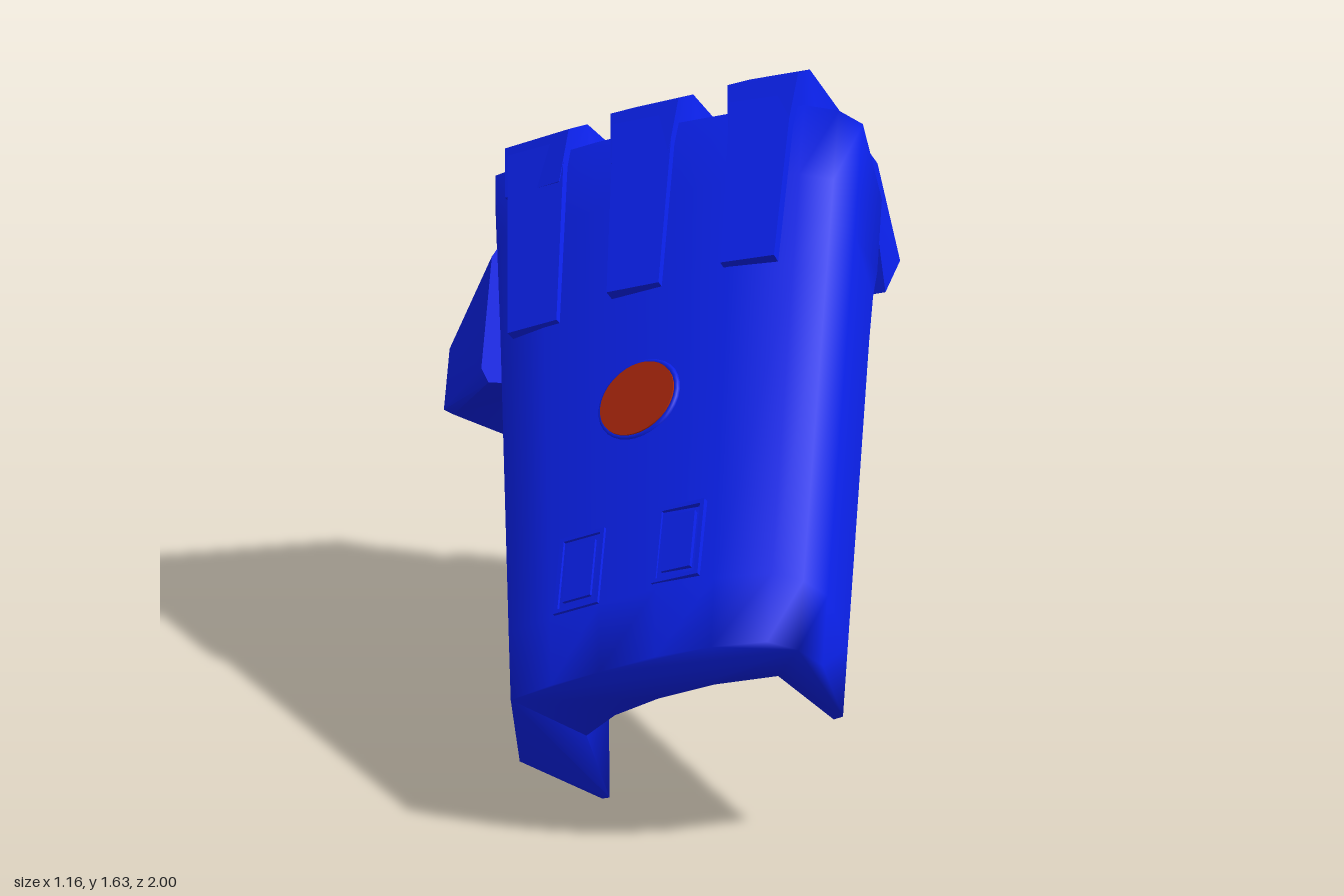
import * as THREE from 'three';
import { toCreasedNormals } from 'three/addons/utils/BufferGeometryUtils.js';

const blue = new THREE.MeshStandardMaterial({ color: 0x0a20e6 });
blue.name = 'armour blue';
const red = new THREE.MeshStandardMaterial({ color: 0xa8260c });
red.name = 'button red';

// Closed solid through matching rings of [x, y, z]; "flats" are the 2D outlines used for the caps
function loft(rings, flats, crease = 0.7) {
  const n = rings[0].length, last = rings.length - 1;
  const pos = rings.flat(2), idx = [];
  for (let r = 0; r < last; r++) {
    for (let i = 0; i < n; i++) {
      const a = r * n + i, b = r * n + (i + 1) % n;
      idx.push(a, b, b + n, a, b + n, a + n);
    }
  }
  [0, last].forEach((r) => {
    const pts = flats[r].map((p) => new THREE.Vector2(p[0], p[1]));
    const ccw = !THREE.ShapeUtils.isClockWise(pts);
    for (const [a, b, c] of THREE.ShapeUtils.triangulateShape(pts, [])) {
      // triangles follow the outline's own direction on the last cap, reversed on the first
      const area = (pts[b].x - pts[a].x) * (pts[c].y - pts[a].y) - (pts[c].x - pts[a].x) * (pts[b].y - pts[a].y);
      const same = (area > 0) === ccw;
      const t = same === (r === last) ? [a, b, c] : [a, c, b];
      idx.push(...t.map((i) => i + r * n));
    }
  });
  // turn the solid right side out
  let volume = 0;
  const v = (i) => new THREE.Vector3().fromArray(pos, i * 3);
  for (let i = 0; i < idx.length; i += 3) volume += v(idx[i]).dot(v(idx[i + 1]).cross(v(idx[i + 2])));
  if (volume < 0) idx.reverse();
  const g = new THREE.BufferGeometry();
  g.setAttribute('position', new THREE.Float32BufferAttribute(pos, 3));
  g.setIndex(idx);
  return toCreasedNormals(g, crease);
}

// Loft of [x, y] outlines placed at distances s along the arm
const armLoft = (outlines, s) => loft(outlines.map((o, i) => o.map(([x, y]) => [x, y, -s[i]])), outlines);

export function createModel() {
  const model = new THREE.Group();
  const arm = new THREE.Group(); // arm axis runs along -z, tilted up as a whole
  arm.name = 'gauntlet';
  arm.rotation.x = THREE.MathUtils.degToRad(35.5);
  model.add(arm);

  function add(name, geometry, material = blue, x = 0, y = 0, s = 0, roll = 0) {
    const m = new THREE.Mesh(geometry, material);
    m.name = name;
    m.position.set(x, y, -s);
    m.rotation.z = roll;
    arm.add(m);
    return m;
  }

  // Open sleeve: rolled channel section, wrist end to knuckle end, with softened rims
  const wrist = [
    [-0.07, 0.355], [-0.28, 0.49], [-0.29, 0.755], [-0.18, 0.83], [-0.05, 0.9], [0.1, 0.98], [0.25, 1.035],
    [0.4, 1.069], [0.48, 1.035], [0.54, 0.967], [0.58, 0.73], [0.555, 0.715],
    [0.42, 0.91], [0.25, 0.86], [0.1, 0.786], [-0.02, 0.7], [-0.1, 0.6], [-0.05, 0.36]];
  const knuckles = [
    [-0.24, 0.31], [-0.48, 0.47], [-0.47, 0.65], [-0.35, 0.735], [-0.2, 0.82], [-0.02, 0.91], [0.18, 0.985],
    [0.36, 1.03], [0.45, 1.01], [0.51, 0.95], [0.54, 0.6], [0.515, 0.59],
    [0.4, 0.86], [0.2, 0.81], [0.05, 0.74], [-0.1, 0.65], [-0.22, 0.55], [-0.22, 0.32]];
  // section part way along; the lower edge of the right wall follows its own heights
  const between = (t, wallY) => wrist.map(([x, y], i) => [
    x + (knuckles[i][0] - x) * t,
    i === 10 || i === 11 ? wallY : y + (knuckles[i][1] - y) * t]);
  const sections = [wrist, between(0.13, 0.725), between(0.7, 0.695), between(0.8, 0.665), between(0.88, 0.59), knuckles];
  const stations = [-0.465, -0.245, 0.74, 0.9, 1.03, 1.25];
  add('sleeve', loft(sections.map((o, r) => o.map(([x, y]) => [
    x, y, -stations[r] + (r === 0 ? Math.max(0, 0.6 - y) * 0.13 : 0)])), sections, 1.62));

  // Palm filling the channel at the fist end
  add('palm', armLoft([
    [[-0.36, 0.45], [-0.2, 0.41], [0.15, 0.54], [0.5, 0.69], [0.42, 0.9], [0, 0.8], [-0.35, 0.6]],
    [[-0.42, 0.38], [-0.2, 0.26], [0.15, 0.42], [0.5, 0.59], [0.44, 0.9], [0, 0.82], [-0.38, 0.6]],
    [[-0.44, 0.47], [-0.2, 0.36], [0.15, 0.47], [0.5, 0.61], [0.46, 0.9], [0.05, 0.84], [-0.42, 0.62]],
  ], [0.69, 1.02, 1.252]));

  // Curled fingers with a raised strip running back from each knuckle
  const fingerSide = [ // [s, height below the knuckle, half width]
    [1.18, 0, 0.085], [1.34, 0, 0.1], [1.42, -0.1, 0.085], [1.43, -0.57, 0.08], [1.24, -0.75, 0.085],
    [1.095, -0.68, 0.085], [1.27, -0.53, 0.1], [1.26, -0.16, 0.1], [1.18, -0.12, 0.085]];
  const fingerRing = (side) => fingerSide.map(([s, v, w]) => [side * w, v, -s]);
  const fingerGeometry = loft([fingerRing(-1), fingerRing(1)], [fingerSide, fingerSide]);
  const fingers = [ // name, x, y, roll, shift along the arm, strip start, strip start x
    ['indexFinger', 0.245, 1.025, 0.34, -0.01, 0.755, 0.25],
    ['middleFinger', -0.07, 0.91, 0.42, -0.03, 0.73, -0.055],
    ['littleFinger', -0.36, 0.755, 0.53, -0.04, 0.7, -0.325],
  ];
  for (const [name, x, y, roll, shift, start, startX] of fingers) {
    add(name, fingerGeometry, blue, x, y, shift, roll);
    const tilt = roll - 0.04;
    const strip = (cx, cy, w) => [[-w, -0.06], [w, -0.06], [w, 0], [-w, 0]].map(([u, v]) => [
      cx + u * Math.cos(tilt) - v * Math.sin(tilt), cy + u * Math.sin(tilt) + v * Math.cos(tilt)]);
    add(name + 'Strip', armLoft([strip(startX, y + 0.015, 0.075), strip(x, y + 0.002, 0.087)], [start, 1.27]));
  }

  // Thumb: chamfered blocks curling from the side under the palm
  const thumbPath = [ // x, y, s, ring direction, half thickness, half width
    [-0.35, 0.65, 0.82, 1, 0, 0.11, 0.22],
    [-0.44, 0.42, 0.81, 0.88, 0.47, 0.16, 0.12],
    [-0.25, 0.285, 0.83, 0.45, 0.89, 0.15, 0.13],
    [0.02, 0.235, 0.845, 0.2, 0.98, 0.13, 0.125]];
  const chamfered = [[-1, -0.8], [-0.8, -1], [0.8, -1], [1, -0.8], [1, 0.8], [0.8, 1], [-0.8, 1], [-1, 0.8]];
  add('thumb', loft(
    thumbPath.map(([x, y, s, nx, ny, h, w]) => chamfered.map(([a, b]) => [x + nx * a * h, y + ny * a * h, b * w - s])),
    thumbPath.map(() => chamfered)));

  // Grip bar across the inside
  const bar = add('gripBar', new THREE.CylinderGeometry(0.058, 0.058, 0.74, 16), blue, 0.15, 0.59, 0.36);
  bar.rotation.z = Math.atan2(0.27, 0.7) - Math.PI / 2;

  // Round button with its rim, and its inner block
  add('button', new THREE.CylinderGeometry(0.112, 0.112, 0.03, 32), red, -0.01, 0.911, 0.383, 0.49);
  add('buttonRim', new THREE.TorusGeometry(0.115, 0.009, 8, 32).rotateX(Math.PI / 2), blue, -0.01, 0.915, 0.383, 0.49);
  add('buttonBlock', new THREE.BoxGeometry(0.13, 0.06, 0.055), red, 0.055, 0.745, 0.45, 0.5);

  // Two framed panels near the wrist
  for (const [x, y, s, roll] of [[-0.125, 0.852, -0.125, 0.5], [0.14, 0.985, -0.11, 0.42]]) {
    for (const side of [-1, 1]) {
      const c = Math.cos(roll) * 0.062 * side, d = Math.sin(roll) * 0.062 * side;
      add('panelFrameSide', new THREE.BoxGeometry(0.012, 0.03, 0.236), blue, x + c, y + d, s, roll);
      add('panelFrameEnd', new THREE.BoxGeometry(0.136, 0.03, 0.012), blue, x, y, s + side * 0.112, roll);
    }
    add('panel', new THREE.BoxGeometry(0.085, 0.03, 0.175), blue, x, y, s, roll);
  }
  return model;
}
